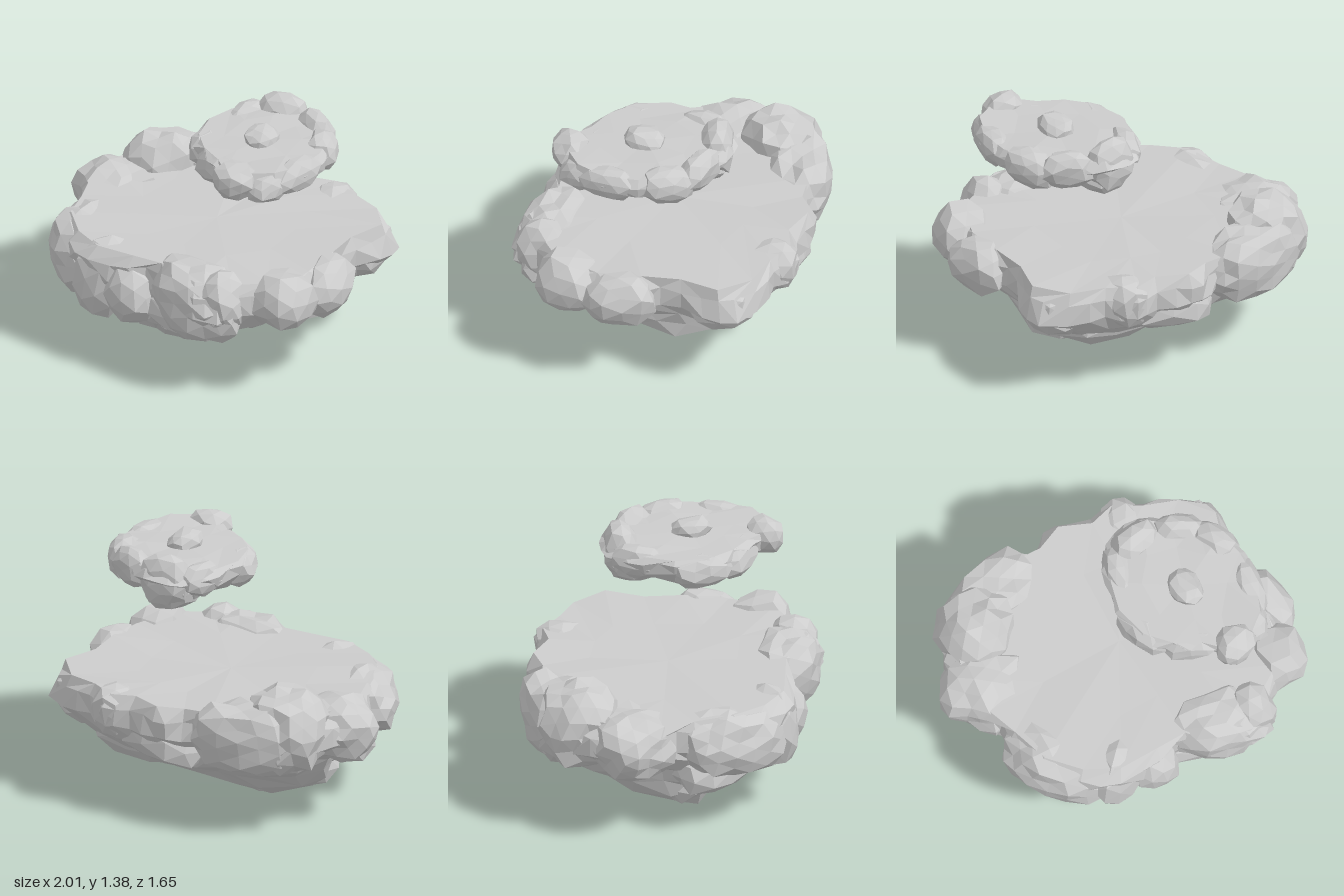
import * as THREE from 'three';

const stone = new THREE.MeshStandardMaterial({ color: 0xcccccc, flatShading: true });

// Repeatable noise in -1..1 that depends only on position and seed
function noise(x, y, z, seed) {
  const r = (v) => Math.round(v * 1000);
  const s = Math.sin(r(x) * 0.1271 + r(y) * 0.3117 + r(z) * 0.0747 + seed * 17.3) * 43758.5453;
  return (s - Math.floor(s)) * 2 - 1;
}

function addMesh(group, name, geometry) {
  const mesh = new THREE.Mesh(geometry, stone);
  mesh.name = name;
  group.add(mesh);
  return mesh;
}

// Boulder: a squared-off, dented icosahedron. spec = [x, y, z, rx, ry, rz, yaw, detail]
function addRock(group, name, [x, y, z, rx, ry, rz, yaw = 0, detail = 1], seed) {
  const geo = new THREE.IcosahedronGeometry(1, detail);
  const pos = geo.attributes.position;
  const v = new THREE.Vector3();
  for (let i = 0; i < pos.count; i++) {
    v.fromBufferAttribute(pos, i);
    const box = Math.pow(v.x ** 4 + v.y ** 4 + v.z ** 4, -0.25);
    const wave = 0.06 * Math.sin(3 * v.x + seed) * Math.cos(3 * v.z + 2 * seed);
    const k = 0.5 + 0.48 * box + wave + 0.11 * noise(v.x, v.y, v.z, seed);
    pos.setXYZ(i, v.x * k * rx, v.y * k * ry, v.z * k * rz);
  }
  geo.computeVertexNormals();
  const mesh = addMesh(group, name, geo);
  mesh.position.set(x, y, z);
  mesh.rotation.set(0.14 * Math.sin(seed * 5), yaw, 0.14 * Math.sin(seed * 3));
}

// Island: rings of the outline scaled about a drifting centre, from plateau to keel.
// levels = [y, scale, centreX, centreZ, roughness, step]; step thins out the ring's corners
function islandGeometry(outline, levels, top, keel, count, seed) {
  const curve = new THREE.CatmullRomCurve3(outline.map(([x, z]) => new THREE.Vector3(x, 0, z)), true);
  const rim = curve.getPoints(count).slice(0, count);
  const verts = [...top];
  const faces = [];
  const starts = [];
  levels.forEach(([y, s, cx, cz, rough, step], l) => {
    starts.push(verts.length / 3);
    for (let i = 0; i < count; i += step) {
      const k = s * (1 + rough * noise(i, l, 1, seed));
      verts.push(cx + rim[i].x * k, y + rough * 0.4 * noise(i, l, 2, seed), cz + rim[i].z * k);
    }
  });
  verts.push(...keel);
  const last = levels.length - 1;
  const at = (l, i) => starts[l] + Math.floor((i % count) / levels[l][5]);
  const tri = (a, b, c) => { if (a !== b && b !== c && c !== a) faces.push(a, b, c); };
  for (let i = 0; i < count; i++) {
    tri(0, at(0, i + 1), at(0, i));
    for (let l = 0; l < last; l++) {
      const a = at(l, i), b = at(l, i + 1), c = at(l + 1, i), d = at(l + 1, i + 1);
      if (noise(i, l, 5, seed) > 0) { tri(a, b, c); tri(b, d, c); }
      else { tri(a, b, d); tri(a, d, c); }
    }
    tri(at(last, i), at(last, i + 1), verts.length / 3 - 1);
  }
  const geo = new THREE.BufferGeometry();
  geo.setAttribute('position', new THREE.Float32BufferAttribute(verts, 3));
  geo.setIndex(faces);
  geo.computeVertexNormals();
  return geo;
}

export function createModel() {
  const model = new THREE.Group();
  model.name = 'floatingIslands';

  // Large island with a flat plateau and an off-centre keel
  const main = new THREE.Group();
  main.name = 'largeIsland';
  model.add(main);
  const outline = [
    [0.88, 0.02], [0.88, 0.28], [0.76, 0.42], [0.73, 0.59], [0.45, 0.66], [0.2, 0.62], [0.08, 0.71],
    [-0.13, 0.79], [-0.32, 0.77], [-0.5, 0.69], [-0.65, 0.53], [-0.72, 0.36], [-0.84, 0.25],
    [-0.94, 0.03], [-0.92, -0.2], [-0.82, -0.4], [-0.58, -0.58], [-0.4, -0.58], [-0.3, -0.7],
    [-0.18, -0.75], [0, -0.75], [0.1, -0.83], [0.25, -0.78], [0.4, -0.79], [0.64, -0.73],
    [0.69, -0.58], [0.7, -0.36], [0.82, -0.2],
  ];
  addMesh(main, 'islandBody', islandGeometry(outline, [
    [0.68, 0.55, 0, 0, 0.02, 4],
    [0.687, 0.94, 0, 0, 0.02, 2],
    [0.62, 0.99, 0, 0, 0.025, 1],
    [0.51, 1.0, 0, 0, 0.03, 1],
    [0.41, 0.9, -0.01, 0, 0.06, 2],
    [0.33, 0.77, -0.04, 0.01, 0.06, 2],
    [0.25, 0.61, -0.1, 0.04, 0.06, 2],
    [0.14, 0.42, -0.19, 0.11, 0.07, 4],
    [0.055, 0.25, -0.2, 0.16, 0.06, 4],
  ], [0, 0.675, 0], [-0.3, 0, 0.3], 48, 3));

  const rimRocks = {
    backRightRidge: [-0.63, 0.57, -0.4, 0.33, 0.2, 0.18, 0.55, 2],
    rightSummit: [-0.745, 0.59, -0.22, 0.22, 0.24, 0.21, 0.2, 2],
    rightRock: [-0.76, 0.55, 0.1, 0.23, 0.17, 0.23, -0.3, 2],
    frontRightRock: [-0.44, 0.5, 0.56, 0.31, 0.19, 0.19, -0.5, 2],
    frontRightShelf: [-0.42, 0.33, 0.42, 0.24, 0.14, 0.18, -0.4],
    frontRock: [-0.15, 0.48, 0.66, 0.15, 0.23, 0.16, 0.1],
    frontSmallRock: [0.07, 0.45, 0.63, 0.14, 0.18, 0.15, 0.4],
    frontLeftRock: [0.46, 0.53, 0.5, 0.29, 0.2, 0.18, 0.08, 2],
    frontCornerRock: [0.65, 0.58, 0.46, 0.13, 0.16, 0.15, 0.3],
    frontLeftShelf: [0.33, 0.39, 0.47, 0.28, 0.13, 0.17, 0.1],
    leftFrontRock: [0.84, 0.57, 0.19, 0.16, 0.16, 0.19, 0.2],
    leftBackRock: [0.83, 0.56, -0.13, 0.2, 0.15, 0.12, -0.98],
    backLeftRock: [0.51, 0.52, -0.56, 0.18, 0.15, 0.2, 0.15],
    backRock: [0.14, 0.57, -0.69, 0.13, 0.14, 0.14, 0.3],
    backShelf: [-0.1, 0.46, -0.54, 0.28, 0.15, 0.19, 0.1],
    leftKeel: [0.42, 0.35, -0.18, 0.23, 0.17, 0.32, 0.3],
    backKeel: [0.2, 0.38, -0.41, 0.34, 0.16, 0.24, 0.2],
    lowerKeel: [-0.2, 0.22, 0.13, 0.35, 0.19, 0.31, 0.3, 2],
  };
  Object.entries(rimRocks).forEach(([name, spec], i) => addRock(main, name, spec, i + 1));

  // Small island hovering above
  const small = new THREE.Group();
  small.name = 'smallIsland';
  small.position.set(0.37, 0, -0.03);
  model.add(small);
  const disc = [
    [0.41, 0.04], [0.4, 0.22], [0.31, 0.35], [0.2, 0.42], [0.07, 0.38], [-0.08, 0.34], [-0.24, 0.3],
    [-0.37, 0.15], [-0.41, -0.02], [-0.42, -0.17], [-0.38, -0.31], [-0.27, -0.4], [-0.14, -0.44],
    [0.03, -0.4], [0.16, -0.36], [0.27, -0.26], [0.36, -0.14],
  ];
  addMesh(small, 'smallIslandBody', islandGeometry(disc, [
    [1.295, 0.55, 0, 0, 0.02, 4],
    [1.295, 0.93, 0, 0, 0.03, 2],
    [1.25, 1.0, 0, 0, 0.04, 1],
    [1.19, 0.94, 0, 0, 0.06, 2],
    [1.14, 0.78, -0.01, 0, 0.06, 2],
    [1.115, 0.42, -0.05, -0.03, 0.06, 4],
  ], [0, 1.295, 0], [-0.1, 1.085, 0], 32, 8));

  const smallRocks = {
    centreKnob: [0, 1.3, 0.01, 0.09, 0.07, 0.11, 0.3],
    backRightPeak: [-0.23, 1.24, -0.31, 0.15, 0.14, 0.1, 0.5],
    hangingRock: [-0.21, 1.15, -0.25, 0.15, 0.1, 0.14, 0.2],
    rightEdgeRock: [-0.34, 1.23, -0.16, 0.08, 0.09, 0.15, 0.1],
    backEdgeRock: [0.02, 1.24, -0.34, 0.15, 0.11, 0.08, -0.1],
    backLeftRock: [0.2, 1.23, -0.25, 0.16, 0.1, 0.09, -0.75],
    leftEdgeRock: [0.34, 1.22, 0.05, 0.08, 0.09, 0.17, 0.1],
    leftFrontRock: [0.33, 1.21, 0.22, 0.08, 0.08, 0.13, 0.2],
    frontLeftRock: [0.21, 1.24, 0.36, 0.12, 0.1, 0.1, 0.6],
    frontRock: [-0.02, 1.2, 0.29, 0.18, 0.09, 0.09, -0.15],
    frontRightRock: [-0.25, 1.2, 0.18, 0.17, 0.09, 0.1, -0.7],
  };
  Object.entries(smallRocks).forEach(([name, spec], i) => addRock(small, name, spec, i + 31));

  return model;
}
